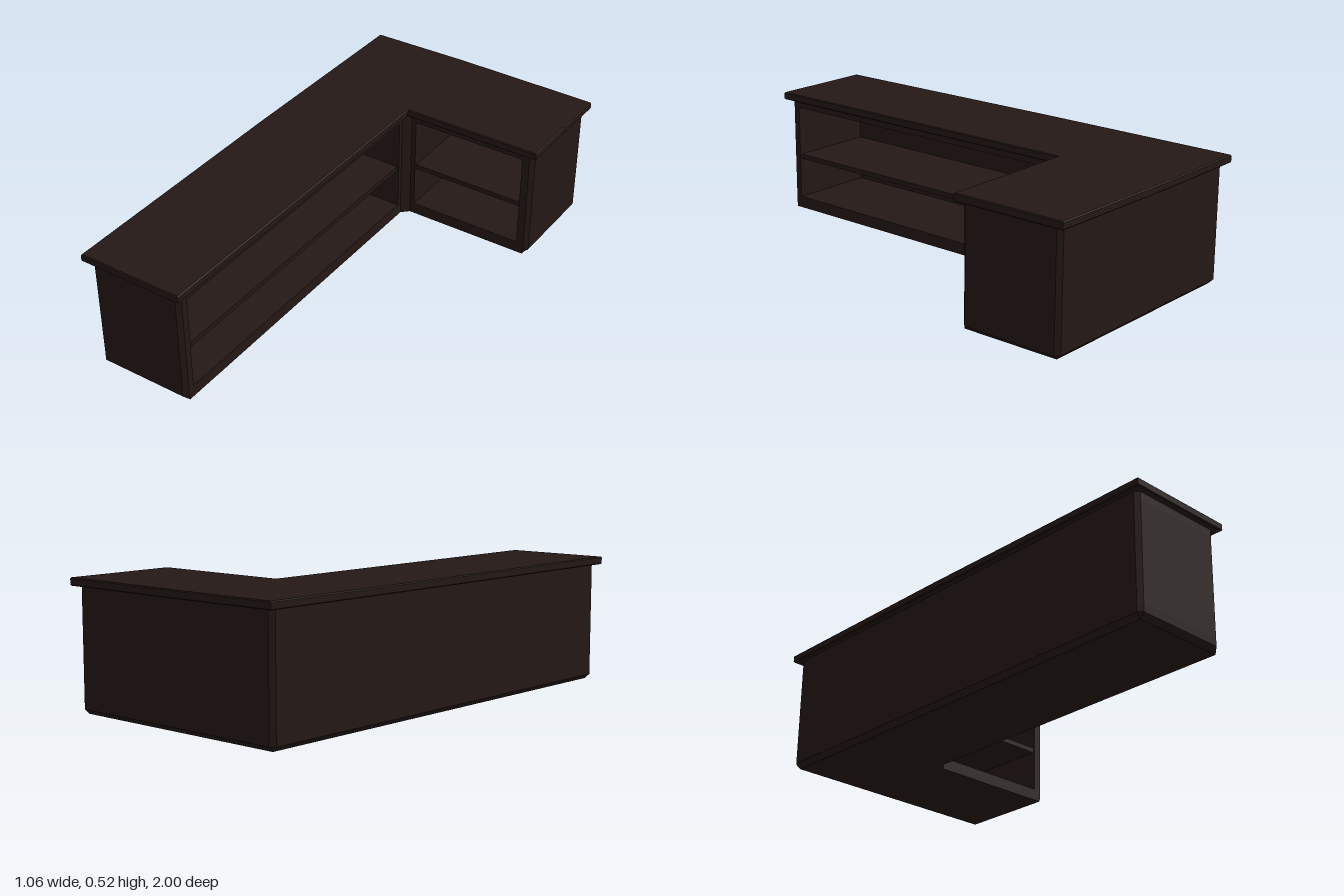
import * as THREE from 'three';

const wood = new THREE.MeshStandardMaterial({ color: 0x241815, flatShading: true });

// Upright prism from a plan outline of [x, z] points
function prism(name, plan, y, height, bevel = 0) {
  const shape = new THREE.Shape(plan.map(([x, z]) => new THREE.Vector2(x, -z)));
  const geo = new THREE.ExtrudeGeometry(shape, {
    depth: height - 2 * bevel,
    bevelEnabled: bevel > 0,
    bevelSize: bevel,
    bevelThickness: bevel,
    bevelOffset: -bevel,
    bevelSegments: 1,
  });
  geo.rotateX(-Math.PI / 2);
  geo.translate(0, y + bevel, 0);
  const mesh = new THREE.Mesh(geo, wood);
  mesh.name = name;
  return mesh;
}

function box(name, x0, x1, y0, y1, z0, z1) {
  const mesh = new THREE.Mesh(new THREE.BoxGeometry(x1 - x0, y1 - y0, z1 - z0), wood);
  mesh.position.set((x0 + x1) / 2, (y0 + y1) / 2, (z0 + z1) / 2);
  mesh.name = name;
  return mesh;
}

export function createModel() {
  const group = new THREE.Group();
  group.name = 'cornerCounter';

  // Body limits, inner corner lines and corner chamfer
  const L = -0.505, R = 0.51, B = -0.968, F = 0.975;
  const IX = -0.095, IZ = -0.53, C = 0.017;

  // Outer side of the body, from the front end round the back to the short end
  const outer = [
    [IX - C, F], [L + C, F], [L, F - C],
    [L, B + C], [L + C, B], [R - C, B], [R, B + C],
    [R, IZ - C], [R - C, IZ],
  ];
  const post = [[-0.065, IZ], [IX, -0.5]];
  const body = [...outer, ...post, [IX, F - C]];

  // Plinth and floor, with the outer bottom edge cut back
  const floor = prism('floor', body, 0, 0.05);
  floor.geometry.dispose();
  floor.geometry = prism('', body, 0.02, 0.03).geometry;
  const plinth = prism('plinth', body, 0, 0.02);
  const p = plinth.geometry.attributes.position;
  for (let i = 0; i < p.count; i++) {
    if (p.getY(i) > 0.01) continue;
    p.setX(i, THREE.MathUtils.clamp(p.getX(i), L + 0.02, R - 0.02));
    p.setZ(i, THREE.MathUtils.clamp(p.getZ(i), B + 0.02, F - 0.02));
  }
  plinth.geometry.computeVertexNormals();
  group.add(plinth, floor);

  // Walls with one deep bay in each arm, and the solid corner post between
  const walls = [
    ...outer,
    [0.46, IZ], [0.46, B + 0.03], [-0.045, B + 0.03], [-0.045, IZ],
    ...post,
    [IX, -0.48], [L + 0.03, -0.48], [L + 0.03, 0.93], [IX, 0.93],
    [IX, F - C],
  ];
  group.add(prism('walls', walls, 0.05, 0.41));
  group.add(prism('topRail', body, 0.46, 0.03));

  // Middle shelves
  group.add(box('longShelf', L + 0.03, IX - 0.008, 0.225, 0.246, -0.48, 0.93));
  group.add(box('shortShelf', -0.045, 0.46, 0.225, 0.246, B + 0.03, IZ - 0.008));

  // Overhanging worktop, very slightly bowed along its back and outer side
  const top = [
    [-0.075, 1], [-0.527, 1], [-0.533, -0.1], [-0.527, -0.993],
    [-0.1, -1], [0.53, -0.992], [0.53, -0.51], [-0.075, -0.51],
  ];
  group.add(prism('worktop', top, 0.49, 0.032, 0.004));

  return group;
}
